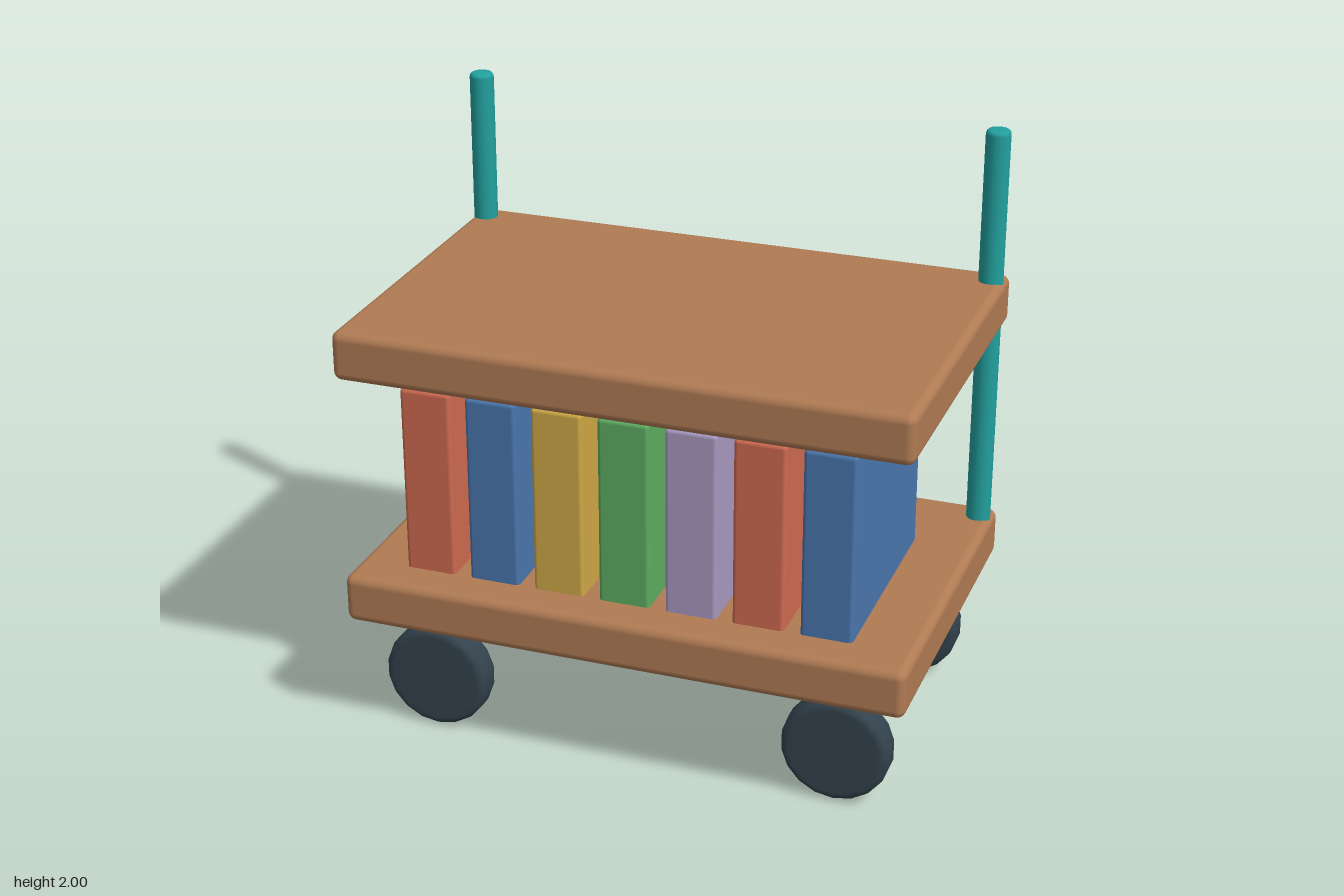
import * as THREE from 'three';
import { RoundedBoxGeometry } from 'three/addons/geometries/RoundedBoxGeometry.js';

const paint = (name, color) => {
  const m = new THREE.MeshStandardMaterial({ color });
  m.name = name;
  return m;
};

// Solid round bar along y with softened rims, centred on its origin
function softCylinder(radius, height, bevel, sides) {
  const h = height / 2;
  const profile = [new THREE.Vector2(0, -h)];
  for (const [s, start] of [[-1, -90], [1, 0]]) {
    for (let i = 0; i <= 3; i++) {
      const a = THREE.MathUtils.degToRad(start + i * 30);
      profile.push(new THREE.Vector2(
        radius - bevel + bevel * Math.cos(a),
        s * (h - bevel) + bevel * Math.sin(a)));
    }
  }
  profile.push(new THREE.Vector2(0, h));
  return new THREE.LatheGeometry(profile, sides);
}

export function createModel() {
  const cart = new THREE.Group();
  cart.name = 'bookCart';

  const wood = paint('wood', 0xb07b54);
  const teal = paint('teal', 0x22a09e);
  const rubber = paint('darkRubber', 0x33424d);
  const red = paint('red', 0xce6a50);
  const blue = paint('blue', 0x4a76ae);
  const yellow = paint('yellow', 0xcea846);
  const green = paint('green', 0x5eac62);
  const lilac = paint('lilac', 0xa898c0);

  const add = (name, geometry, material, x, y, z) => {
    const mesh = new THREE.Mesh(geometry, material);
    mesh.name = name;
    mesh.position.set(x, y, z);
    cart.add(mesh);
    return mesh;
  };

  // Two shelves
  const shelf = new RoundedBoxGeometry(1.93, 0.17, 1.23, 3, 0.03);
  add('lowerShelf', shelf, wood, 0, 0.507, 0);
  add('upperShelf', shelf, wood, 0, 1.387, 0);

  // Rear posts and four wheels, mirrored across x
  const post = softCylinder(0.042, 1.575, 0.015, 20);
  const wheel = softCylinder(0.185, 0.11, 0.03, 18);
  wheel.rotateX(Math.PI / 2);
  for (const [side, s] of [['left', 1], ['right', -1]]) {
    add(side + 'Post', post, teal, s * 0.915, 1.2125, -0.53);
    add(side + 'FrontWheel', wheel, rubber, s * 0.705, 0.185, 0.44);
    add(side + 'BackWheel', wheel, rubber, s * 0.705, 0.185, -0.44);
  }

  // Row of books standing on the lower shelf
  const book = new RoundedBoxGeometry(0.175, 0.67, 0.775, 2, 0.014);
  [red, blue, yellow, green, lilac, red, blue].forEach((cover, i) => {
    add('book' + (i + 1), book, cover, -0.706 + i * 0.2288, 0.91, 0.0925);
  });

  return cart;
}
